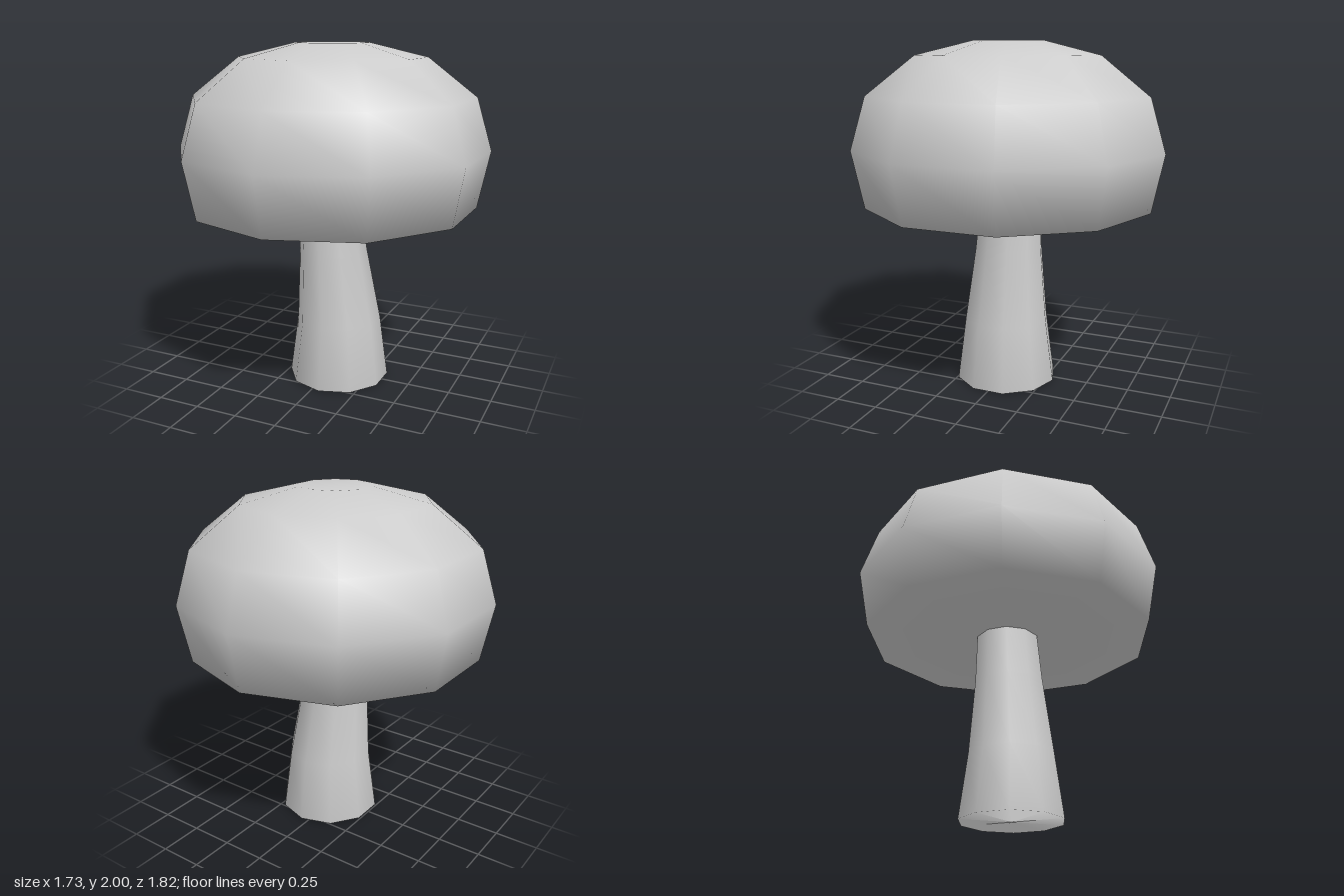
import * as THREE from 'three';

const SIDES = 10;

// Smooth ten-sided solid of revolution from [radius, height] pairs, bottom to top
function turned(profile) {
  return new THREE.LatheGeometry(profile.map(([r, y]) => new THREE.Vector2(r, y)), SIDES);
}

export function createModel() {
  const group = new THREE.Group();
  group.name = 'mushroom';
  const grey = new THREE.MeshStandardMaterial({ color: 0xcccccc });
  grey.name = 'plain grey';

  // Domed cap with a flat underside and a small flat crown
  const cap = new THREE.Mesh(turned([
    [0, 1.067], [0.843, 1.067], [0.91, 1.4], [0.82, 1.7], [0.54, 1.92], [0.212, 2], [0, 2],
  ]), grey);
  cap.name = 'cap';
  group.add(cap);

  // Tapering stem: [radius, height, sideways shift of the ring]
  const rings = [
    [0, 0, 0.045], [0.3, 0, 0.045], [0.251, 0.37, 0.045], [0.203, 0.79, 0.007],
    [0.183, 1.08, -0.024], [0.178, 1.16, -0.033], [0, 1.16, -0.033],
  ];
  const stemGeometry = turned(rings);
  const position = stemGeometry.attributes.position;
  const normal = stemGeometry.attributes.normal;
  for (let i = 0; i < position.count; i++) {
    const ring = i % rings.length;
    position.setX(i, position.getX(i) + rings[ring][2]);
    // The foot keeps the side shading right into its centre
    if (ring < 2) {
      const angle = Math.floor(i / rings.length) * 2 * Math.PI / SIDES;
      normal.setXYZ(i, Math.sin(angle), 0, Math.cos(angle));
    }
  }
  const stem = new THREE.Mesh(stemGeometry, grey);
  stem.name = 'stem';
  group.add(stem);

  return group;
}
